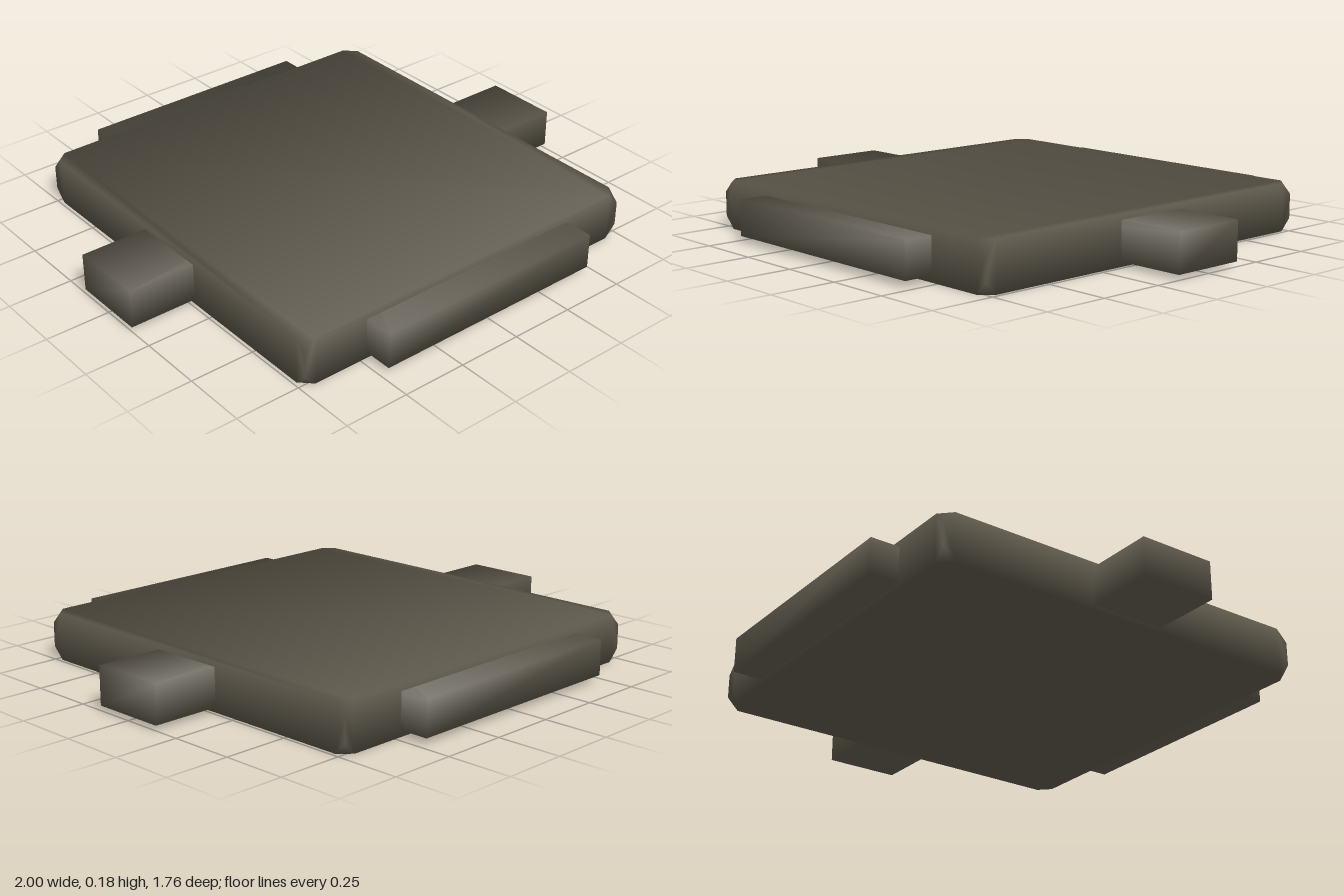
import * as THREE from 'three';

const MID_Y = 0.0915;
const CORNERS = [-1, 1].flatMap(x => [-1, 1].flatMap(y => [-1, 1].map(z => [x, y, z])));

// Box with its eight corner points cut off and normals blended across the edges
function clippedBox(half, cut) {
  const pos = [], nor = [];
  // One vertex lies on the edge running along axis "free", near the corner "s"
  const add = (s, free) => {
    pos.push(...s.map((k, i) => k * (half[i] - (i === free ? cut : 0))));
    const len = Math.SQRT2;
    nor.push(...s.map((k, i) => (i === free ? 0 : k / len)));
  };
  const tri = (a, b, c, flip) => (flip ? [a, c, b] : [a, b, c]).forEach(v => add(...v));

  // Six octagonal faces, each sliced into a centre quad and two end strips
  for (let n = 0; n < 3; n++) {
    const u = (n + 1) % 3, v = (n + 2) % 3;
    for (const side of [1, -1]) {
      const ring = [];
      [[1, 1], [-1, 1], [-1, -1], [1, -1]].forEach(([a, b], i) => {
        const s = [0, 0, 0];
        s[n] = side; s[u] = a; s[v] = b;
        ring.push(...(i % 2 ? [[s, u], [s, v]] : [[s, v], [s, u]]));
      });
      const shift = n === 2 ? 2 : 0;
      for (const quad of [[0, 1, 2, 3], [0, 3, 4, 7], [4, 5, 6, 7]]) {
        const [a, b, c, d] = quad.map(i => ring[(i + shift) % 8]);
        tri(a, b, c, side < 0);
        tri(a, c, d, side < 0);
      }
    }
  }
  // Eight small corner triangles
  for (const s of CORNERS) tri([s, 0], [s, 1], [s, 2], s[0] * s[1] * s[2] < 0);

  const geo = new THREE.BufferGeometry();
  geo.setAttribute('position', new THREE.Float32BufferAttribute(pos, 3));
  geo.setAttribute('normal', new THREE.Float32BufferAttribute(nor, 3));
  return geo;
}

// Plain box with smooth shading: every normal points out through its corner
function softBox(w, h, d) {
  const geo = new THREE.BoxGeometry(w, h, d);
  const p = geo.attributes.position, k = 1 / Math.sqrt(3);
  for (let i = 0; i < p.count; i++) {
    geo.attributes.normal.setXYZ(i, Math.sign(p.getX(i)) * k, Math.sign(p.getY(i)) * k, Math.sign(p.getZ(i)) * k);
  }
  return geo;
}

export function createModel() {
  const group = new THREE.Group();
  const metal = new THREE.MeshStandardMaterial({ color: 0x5a5548 });
  metal.name = 'dark warm grey';

  const addPart = (name, geo) => {
    const mesh = new THREE.Mesh(geo, metal);
    mesh.name = name;
    mesh.position.y = MID_Y;
    group.add(mesh);
  };

  // Flat slab with two bars passing through it, showing as tabs on four sides
  addPart('slab', clippedBox([0.737, MID_Y, 0.768], 0.045));
  addPart('sideBar', softBox(2, 0.146, 0.296));
  addPart('frontToBackBar', softBox(0.945, 0.136, 1.76));

  return group;
}
